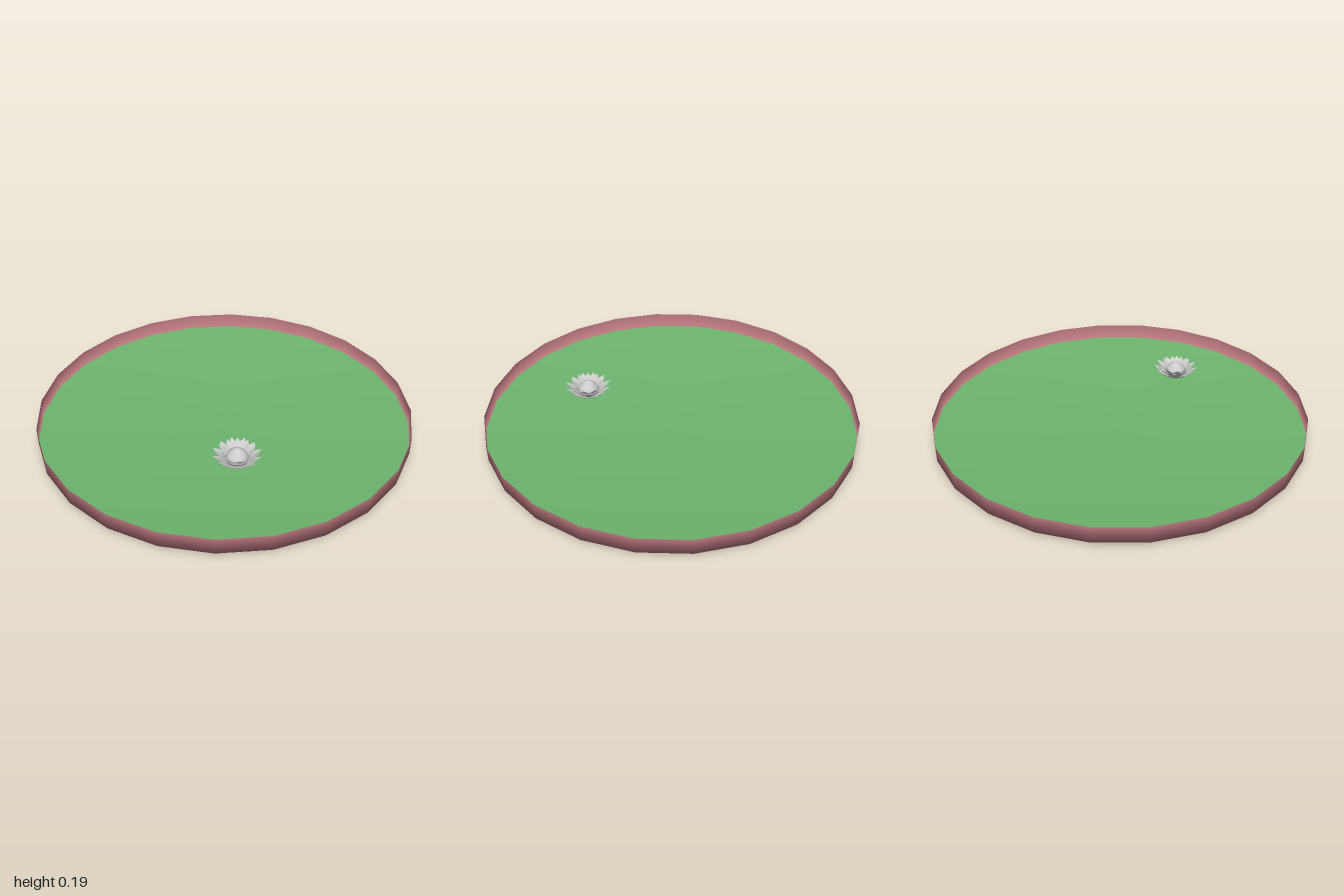
import * as THREE from 'three';

const material = (color) => new THREE.MeshStandardMaterial({ color, side: THREE.DoubleSide });

function add(parent, name, geometry, mat) {
  const mesh = new THREE.Mesh(geometry, mat);
  mesh.name = name;
  parent.add(mesh);
  return mesh;
}

// Keeps one band (between two neighbouring profile points) of a lathe with its shared smooth normals
function latheBand(lathe, band, bands) {
  const geometry = lathe.clone();
  geometry.setIndex(Array.from(lathe.index.array).filter((_, k) => Math.floor(k / 6) % bands === band));
  return geometry;
}

// Cupped petal reaching outward along +z, from radius r0 at y0 to r1 at y1
function petalGeometry(r0, y0, r1, y1, width) {
  const geometry = new THREE.PlaneGeometry(1, 1, 4, 6);
  const pos = geometry.attributes.position;
  for (let i = 0; i < pos.count; i++) {
    const s = pos.getX(i) * 2;
    const t = pos.getY(i) + 0.5;
    const half = 0.5 * width * Math.pow(Math.sin(Math.PI * (0.1 + 0.9 * t)), 0.7);
    const rise = Math.pow(t, 1.4) + 0.1 * s * s * Math.sin(Math.PI * t);
    pos.setXYZ(i, s * half, y0 + (y1 - y0) * rise, r0 + (r1 - r0) * t);
  }
  geometry.computeVertexNormals();
  return geometry;
}

export function createModel() {
  const model = new THREE.Group();
  model.name = 'lilyPad';

  // Shallow leaf with an upright rim
  const profile = [[0, 0], [1, 0.015], [1, 0.102]].map(([x, y]) => new THREE.Vector2(x, y));
  const lathe = new THREE.LatheGeometry(profile, 24);
  add(model, 'leaf', latheBand(lathe, 0, 2), material(0x6db56d));
  add(model, 'leafRim', latheBand(lathe, 1, 2), material(0xbd7880));

  // Blossom
  const grey = material(0xcccccc);
  const flower = new THREE.Group();
  flower.name = 'flower';
  flower.position.set(0.387, 0, 0.272);
  model.add(flower);

  // Rings of petals, each steeper than the one outside it
  const rings = [
    { name: 'outerPetal', count: 12, r0: 0.012, y0: 0.088, r1: 0.125, y1: 0.158, width: 0.05, turn: 0 },
    { name: 'middlePetal', count: 12, r0: 0.012, y0: 0.092, r1: 0.106, y1: 0.168, width: 0.046, turn: 0.5 },
    { name: 'innerPetal', count: 8, r0: 0.012, y0: 0.096, r1: 0.082, y1: 0.168, width: 0.05, turn: 0.25 },
  ];
  for (const { name, count, r0, y0, r1, y1, width, turn } of rings) {
    const geometry = petalGeometry(r0, y0, r1, y1, width);
    for (let i = 0; i < count; i++) {
      add(flower, name, geometry, grey).rotation.y = ((i + turn) / count) * Math.PI * 2;
    }
  }

  // Closed bud in the middle
  const bud = [[0, 0.088], [0.03, 0.096], [0.052, 0.115], [0.058, 0.132], [0.048, 0.154], [0.026, 0.174], [0, 0.19]];
  add(flower, 'bud', new THREE.LatheGeometry(bud.map(([x, y]) => new THREE.Vector2(x, y)), 16), grey);

  return model;
}
